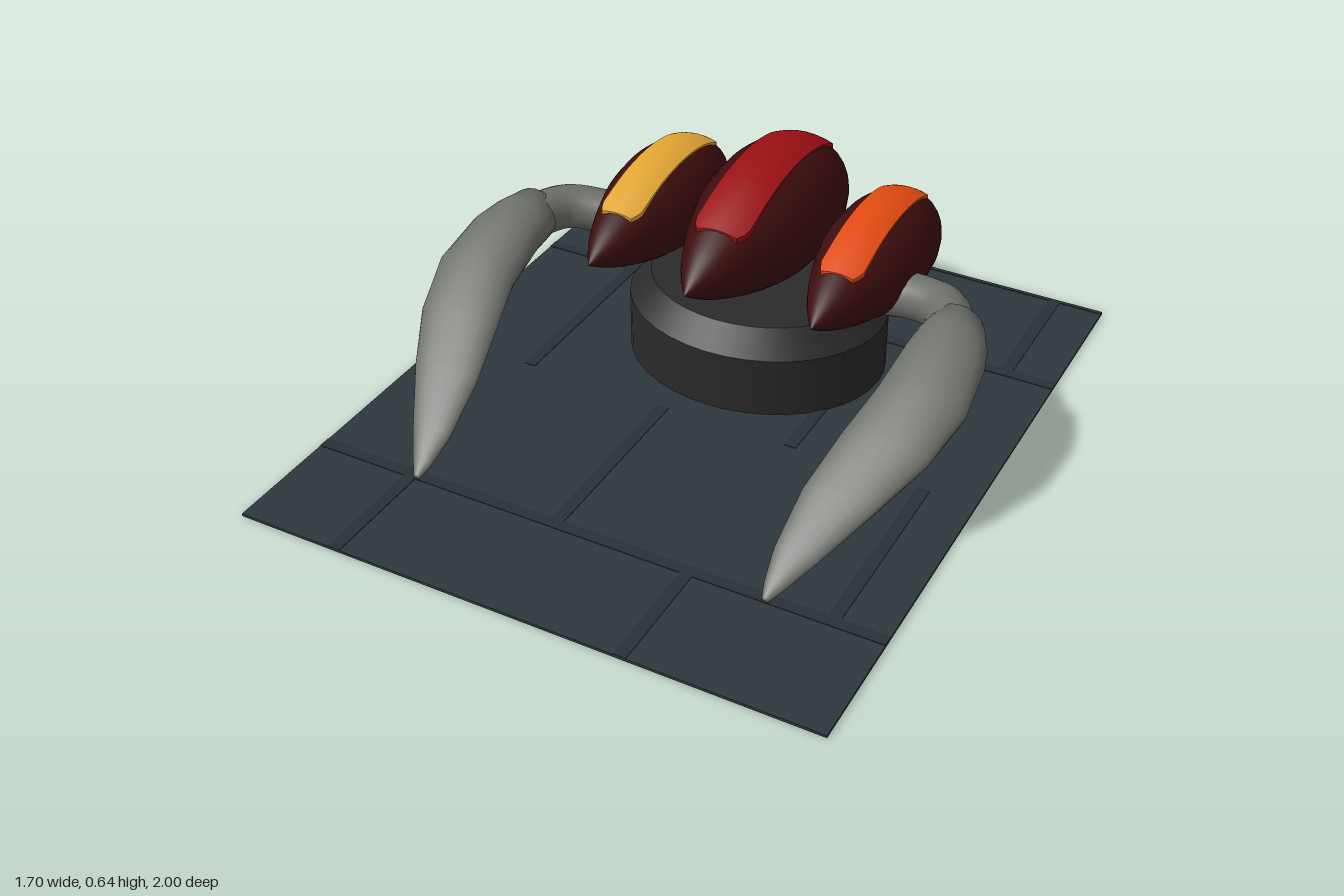
import * as THREE from 'three';

const mat = (name, color, side = THREE.FrontSide) => {
  const m = new THREE.MeshStandardMaterial({ color, side });
  m.name = name;
  return m;
};

// Pod outline as (radius, z), back tip to front tip
const podCurve = new THREE.SplineCurve([
  [0, -0.76], [0.08, -0.705], [0.137, -0.65], [0.176, -0.55], [0.19, -0.42],
  [0.176, -0.28], [0.138, -0.15], [0.088, -0.03], [0.044, 0.05], [0, 0.115],
].map(([r, z]) => new THREE.Vector2(r, z)));

const podProfile = (radiusScale, lengthScale, zMid) => podCurve.getPoints(36).map((p) =>
  new THREE.Vector2(Math.max(0, p.x) * radiusScale, zMid + (p.y + 0.42) * lengthScale));

// Radius of a pod profile at a given z
function radiusAt(profile, z) {
  for (let i = 1; i < profile.length; i++) {
    const a = profile[i - 1], b = profile[i];
    if (z <= b.y) return THREE.MathUtils.mapLinear(z, a.y, b.y, a.x, b.x);
  }
  return 0;
}

// Thin band bent along the top of a pod, with clipped corners
function bandGeometry(profile, width, z0, z1) {
  const thick = 0.02, maxR = Math.max(...profile.map((p) => p.x));
  const g = new THREE.BoxGeometry(width, thick, z1 - z0, 6, 1, 28);
  g.translate(0, 0, (z0 + z1) / 2);
  const p = g.attributes.position;
  for (let i = 0; i < p.count; i++) {
    const z = p.getZ(i);
    const end = Math.min(z - z0, z1 - z);
    const x = p.getX(i) * Math.min(1, 0.75 + end * 8);
    const drop = maxR - Math.sqrt(maxR * maxR - x * x);
    p.setXYZ(i, x, radiusAt(profile, z) - drop + 0.004 + p.getY(i) - thick / 2, z);
  }
  g.computeVertexNormals();
  return g;
}

// Solid through elliptical sections [z, xMin, xMax, yMin, yMax]
function loftGeometry(sections, side, n = 20) {
  const pos = [], idx = [];
  for (const [z, x0, x1, y0, y1] of sections) {
    for (let j = 0; j < n; j++) {
      const a = (j / n) * Math.PI * 2;
      pos.push(side * (x0 + x1) / 2 + Math.cos(a) * (x1 - x0) / 2,
        (y0 + y1) / 2 + Math.sin(a) * (y1 - y0) / 2, z);
    }
  }
  for (let i = 0; i < sections.length - 1; i++) {
    for (let j = 0; j < n; j++) {
      const a = i * n + j, b = i * n + (j + 1) % n;
      idx.push(a, b, a + n, b, b + n, a + n);
    }
  }
  const g = new THREE.BufferGeometry();
  g.setAttribute('position', new THREE.Float32BufferAttribute(pos, 3));
  g.setIndex(idx);
  g.computeVertexNormals();
  return g;
}

export function createModel() {
  const model = new THREE.Group();
  const slate = mat('slate', 0x2e373d);
  const joint = mat('joint', 0x283036);
  const iron = mat('iron', 0x2a2a2a);
  const shell = mat('darkRedShell', 0x3c0d0e);
  const red = mat('red', 0x9a1013);
  const orange = mat('orange', 0xe04a10);
  const yellow = mat('yellow', 0xe2a433);
  const grey = mat('grey', 0x6c6e69, THREE.DoubleSide);

  const add = (name, geometry, material, parent = model) => {
    const m = new THREE.Mesh(geometry, material);
    m.name = name;
    parent.add(m);
    return m;
  };

  // Paved floor
  add('floor', new THREE.BoxGeometry(1.7, 0.008, 2), slate).position.y = 0.004;
  const strip = (x0, x1, z0, z1) => {
    const m = add('floorJoint', new THREE.BoxGeometry(x1 - x0, 0.003, z1 - z0), joint);
    m.position.set((x0 + x1) / 2, 0.0085, (z0 + z1) / 2);
  };
  strip(-0.85, 0.85, -1, -0.987);
  strip(-0.85, 0.85, -0.575, -0.54);
  strip(-0.85, 0.85, 0.63, 0.665);
  for (const [x, z0, z1] of [
    [-0.1, -0.987, -0.575], [0.7, -0.987, -0.575],
    [-0.55, -0.54, 0.06], [0.3, -0.54, 0.06],
    [-0.1, 0.06, 0.63], [0.7, 0.06, 0.63],
    [-0.55, 0.665, 1], [0.3, 0.665, 1],
  ]) strip(x - 0.018, x + 0.018, z0, z1);

  // Oval base: wall, bevel and lid
  const base = new THREE.Group();
  base.name = 'base';
  base.position.z = -0.34;
  base.scale.z = 0.85;
  model.add(base);
  add('baseWall', new THREE.CylinderGeometry(0.39, 0.39, 0.182, 40), iron, base).position.y = 0.099;
  add('baseBevel', new THREE.CylinderGeometry(0.325, 0.39, 0.075, 40), iron, base).position.y = 0.2275;

  // Three pods with a coloured band on each
  const pods = [
    ['centrePod', 0, 0.443, 1, 1, -0.42, 0.165, -0.685, -0.07, red],
    ['leftPod', 0.343, 0.402, 0.79, 0.85, -0.41, 0.127, -0.635, -0.115, orange],
    ['rightPod', -0.343, 0.402, 0.79, 0.85, -0.41, 0.127, -0.635, -0.115, yellow],
  ];
  for (const [name, x, y, rs, ls, zMid, width, z0, z1, colour] of pods) {
    const pod = new THREE.Group();
    pod.name = name;
    pod.position.set(x, y, 0);
    model.add(pod);
    const profile = podProfile(rs, ls, zMid);
    add('podShell', new THREE.LatheGeometry(profile, 24).rotateX(Math.PI / 2), shell, pod);
    add('podBand', bandGeometry(profile, width, z0, z1), colour, pod);
  }

  // Curved arms ending in flat pointed claws
  const claw = [
    [-0.2, 0.667, 0.668, 0.365, 0.366],
    [-0.2, 0.59, 0.745, 0.29, 0.44],
    [-0.13, 0.578, 0.778, 0.287, 0.437],
    [-0.05, 0.573, 0.8, 0.283, 0.422],
    [0.1, 0.56, 0.812, 0.255, 0.365],
    [0.25, 0.525, 0.775, 0.205, 0.288],
    [0.4, 0.495, 0.7, 0.142, 0.203],
    [0.55, 0.49, 0.612, 0.062, 0.11],
    [0.63, 0.503, 0.56, 0.022, 0.055],
    [0.665, 0.515, 0.535, 0.01, 0.028],
    [0.668, 0.524, 0.526, 0.018, 0.02],
  ];
  for (const [side, label] of [[1, 'left'], [-1, 'right']]) {
    const path = new THREE.CatmullRomCurve3([
      [0.41, 0.335, -0.32], [0.51, 0.352, -0.31], [0.605, 0.365, -0.265], [0.667, 0.366, -0.15],
    ].map(([x, y, z]) => new THREE.Vector3(side * x, y, z)));
    add(label + 'Arm', new THREE.TubeGeometry(path, 20, 0.066, 16), grey);
    add(label + 'Claw', loftGeometry(claw, side), grey);
  }
  return model;
}
